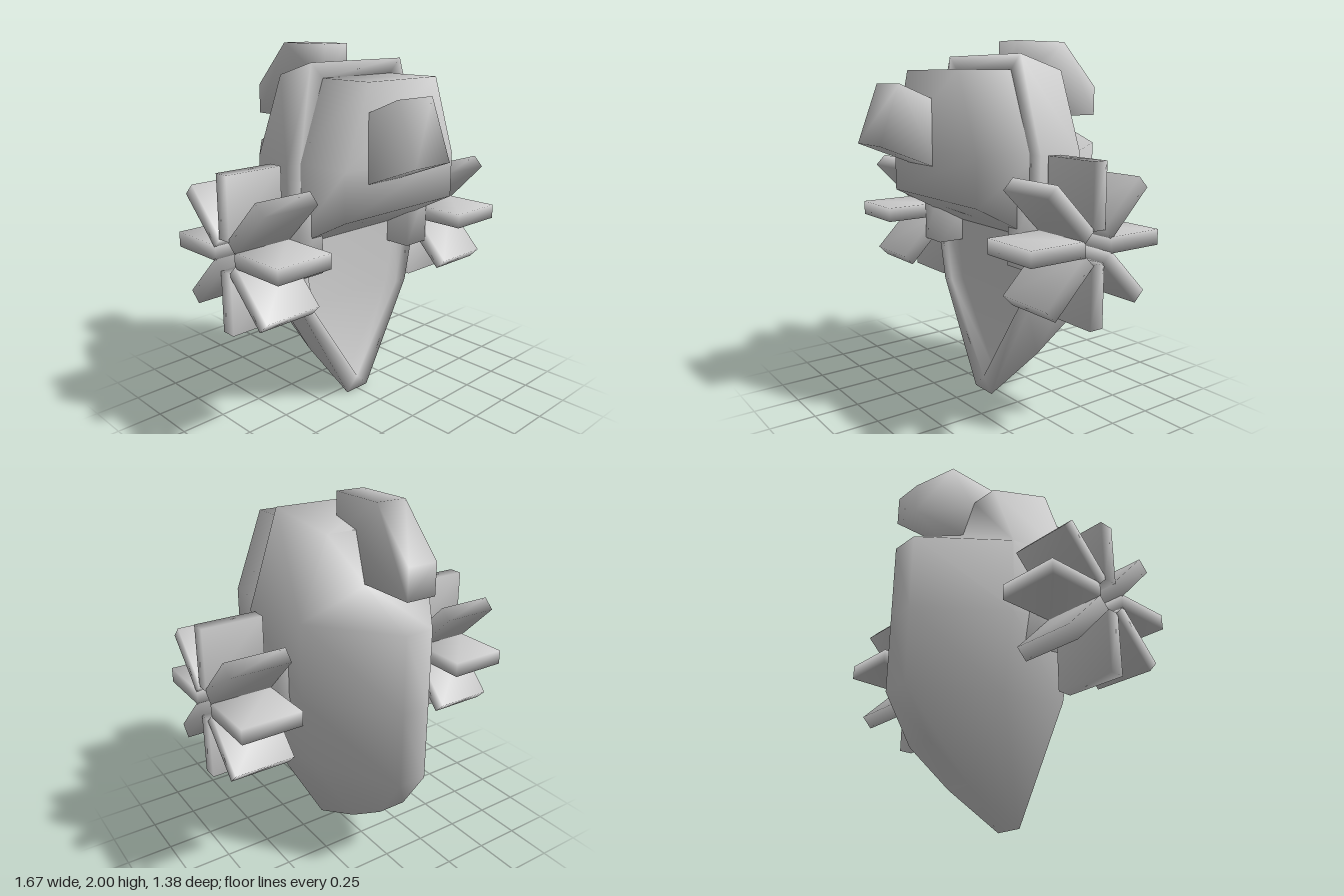
import * as THREE from 'three';
import { mergeVertices } from 'three/addons/utils/BufferGeometryUtils.js';

const material = new THREE.MeshStandardMaterial({ color: 0xcccccc });

// Share corners so the shading rolls softly over every edge
function softMesh(name, geometry) {
  geometry.deleteAttribute('uv');
  geometry.deleteAttribute('normal');
  const soft = mergeVertices(geometry, 1e-4);
  soft.computeVertexNormals();
  const mesh = new THREE.Mesh(soft, material);
  mesh.name = name;
  return mesh;
}

// Loft through half sections (+x side), mirrored across x = 0, with both ends closed
function mirrorLoft(rows) {
  const n = rows[0].length * 2;
  const positions = [], index = [];
  const quad = (a, b, c, d) => index.push(a, b, d, b, c, d);
  for (const half of rows) {
    const other = half.map(([x, y, z]) => [-x, y, z]).reverse();
    positions.push(...half.flat(), ...other.flat());
  }
  for (let r = 0; r < rows.length - 1; r++) {
    for (let i = 0; i < n; i++) {
      const j = (i + 1) % n;
      quad(r * n + i, r * n + j, (r + 1) * n + j, (r + 1) * n + i);
    }
  }
  const e = (rows.length - 1) * n;
  for (let i = 0; i < n / 2 - 1; i++) {
    quad(n - 1 - i, n - 2 - i, i + 1, i);
    quad(e + i, e + i + 1, e + n - 2 - i, e + n - 1 - i);
  }
  const geometry = new THREE.BufferGeometry();
  geometry.setAttribute('position', new THREE.Float32BufferAttribute(positions, 3));
  geometry.setIndex(index);
  return geometry;
}

// Extrude a [z, y] side profile across x, from x - width to x
function sideExtrude(profile, x, width) {
  const shape = new THREE.Shape(profile.map(([z, y]) => new THREE.Vector2(z, y)));
  const geometry = new THREE.ExtrudeGeometry(shape, { depth: width, bevelEnabled: false });
  return geometry.rotateY(-Math.PI / 2).translate(x, 0, 0);
}

export function createModel() {
  const model = new THREE.Group();
  model.name = 'paddleBoat';

  // Hull sections from bow to stern: well floor, well edge, rim, chine, keel
  const deck = 0.06, floor = -0.02, chine = -0.28;
  const section = (well, rim, side, keel, wellFloor = well) => [
    [...wellFloor, floor], [...well, deck], [...rim, deck], [...side, chine], keel,
  ];
  const hull = mirrorLoft([
    section([0, 0.08], [0.08, 0], [0.08, 0.17], [0.08, 0.34, -0.53], [0, 0.1]),
    section([0.33, 0.59], [0.41, 0.59], [0.33, 0.59], [0.08, 0.59, -0.69]),
    section([0.41, 1.0], [0.5, 1.0], [0.41, 1.0], [0.08, 1.0, -0.69]),
    section([0.41, 1.42], [0.5, 1.42], [0.41, 1.42], [0.08, 1.42, -0.69]),
    section([0.41, 1.42], [0.5, 1.42], [0.41, 1.42], [0.08, 1.58, -0.36]),
    section([0.25, 1.84], [0.33, 1.92], [0.25, 1.84], [0.08, 1.84, -0.28]),
  ]);
  model.add(softMesh('hull', hull));

  // Cabin with a sloping lower face, set into the well
  const cabinRow = (bottom, z) => [[0.41, bottom, z], [0.41, 1.42, z], [0.25, 1.84, z]];
  model.add(softMesh('cabin', mirrorLoft([cabinRow(0.96, floor), cabinRow(1.17, 0.385)])));

  // Tilted chimney on the cabin front
  model.add(softMesh('chimney', sideExtrude(
    [[0.57, 1.77], [0.25, 1.64], [0.37, 1.335], [0.69, 1.46]], 0, 0.25)));

  // Fin at the stern
  model.add(softMesh('sternFin', sideExtrude(
    [[-0.11, 2], [-0.11, 1.8], [-0.28, 1.8], [-0.34, 1.585], [-0.69, 1.585], [-0.69, 1.75], [-0.445, 2]],
    0.083, 0.166)));

  // Paddle wheels: mounting block, octagonal axle and eight blades on each side
  for (const side of [1, -1]) {
    const wheel = new THREE.Group();
    wheel.name = side > 0 ? 'leftPaddleWheel' : 'rightPaddleWheel';
    wheel.position.set(0, 1.003, -0.028);

    const block = softMesh('wheelMount', new THREE.BoxGeometry(0.165, 0.333, 0.333));
    block.position.x = side * 0.417;
    wheel.add(block);

    const axleShape = new THREE.CylinderGeometry(0.093, 0.093, 0.12, 8);
    const axle = softMesh('axle', axleShape.rotateY(Math.PI / 8).rotateZ(Math.PI / 2));
    axle.position.x = side * 0.523;
    wheel.add(axle);

    for (let i = 0; i < 8; i++) {
      const blade = softMesh('paddle', new THREE.BoxGeometry(0.332, 0.332, 0.082).translate(0, 0.248, 0));
      blade.position.x = side * 0.667;
      blade.rotation.x = (i * Math.PI) / 4;
      wheel.add(blade);
    }
    model.add(wheel);
  }
  return model;
}
